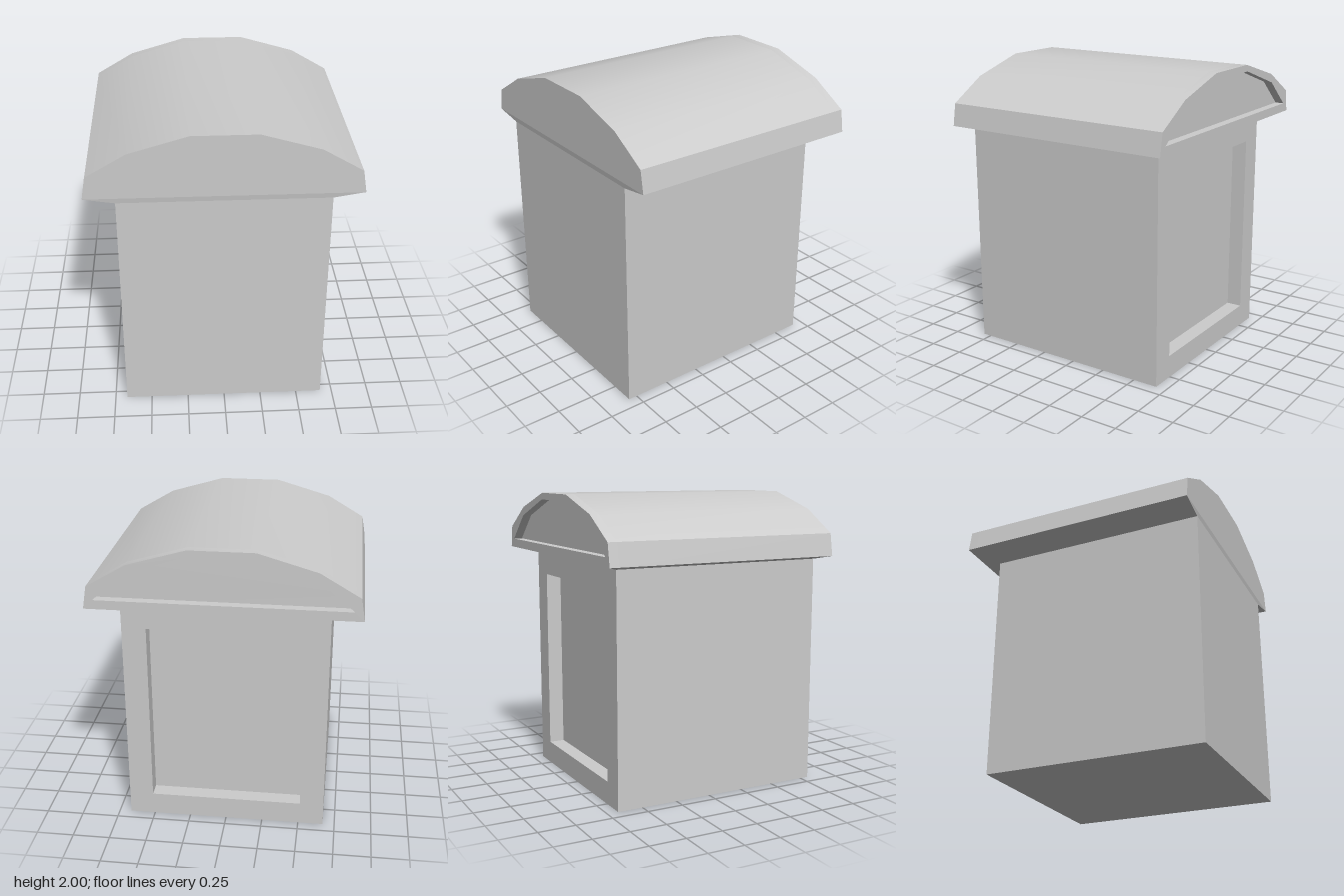
import * as THREE from 'three';
import { toCreasedNormals } from 'three/addons/utils/BufferGeometryUtils.js';

const material = new THREE.MeshStandardMaterial({ color: 0xcccccc });

// Right half of an outline, mirrored into a closed counter-clockwise loop
function mirrored(half) {
  const left = half.map(([x, y]) => [-x, y]).reverse();
  return [...half, ...left].map(([x, y]) => new THREE.Vector2(x, y));
}

// Solid prism along z with an optional opening
function prism(outline, z0, z1, opening) {
  const shape = new THREE.Shape(outline);
  if (opening) shape.holes.push(new THREE.Path(opening));
  const geo = new THREE.ExtrudeGeometry(shape, { depth: z1 - z0, bevelEnabled: false });
  geo.translate(0, 0, z0);
  return toCreasedNormals(geo, 0.6);
}

export function createModel() {
  const model = new THREE.Group();
  const add = (name, geo) => {
    const mesh = new THREE.Mesh(geo, material);
    mesh.name = name;
    model.add(mesh);
  };

  // Depth positions: walls, roof ends and the floors of the two back recesses
  const wallFront = 0.81, wallBack = -0.675, panelFloor = -0.57;
  const roofFront = 0.815, roofBack = -0.81, gableFloor = -0.75;
  const wallX = 0.67, wallTop = 1.555, eaveX = 0.87, eaveY = 1.59;

  // Body with a sunken rectangular panel in the back
  const wall = mirrored([[wallX, 0], [wallX, wallTop]]);
  const panel = mirrored([[0.51, 0.155], [0.51, 1.41]]);
  add('body', prism(wall, panelFloor, wallFront));
  add('backPanelFrame', prism(wall, wallBack, panelFloor, panel));

  // Eave: a thin box whose lower corners are drawn in to meet the walls
  const eave = new THREE.BoxGeometry(2 * eaveX, eaveY - wallTop, roofFront - roofBack).toNonIndexed();
  eave.translate(0, (eaveY + wallTop) / 2, (roofFront + roofBack) / 2);
  const p = eave.attributes.position;
  for (let i = 0; i < p.count; i++) {
    if (p.getY(i) > (eaveY + wallTop) / 2) continue;
    p.setX(i, Math.sign(p.getX(i)) * wallX);
    p.setZ(i, p.getZ(i) > 0 ? wallFront : wallBack);
  }
  eave.computeVertexNormals();
  add('eave', eave);

  // Arched roof with a sunken gable in the back
  const arch = mirrored([[eaveX, eaveY], [0.845, 1.74], [0.59, 1.89], [0.21, 2]]);
  const gable = mirrored([[0.81, 1.65], [0.6, 1.83], [0.22, 1.955]]);
  add('roof', prism(arch, gableFloor, roofFront));
  add('backGableFrame', prism(arch, roofBack, gableFloor, gable));

  return model;
}
